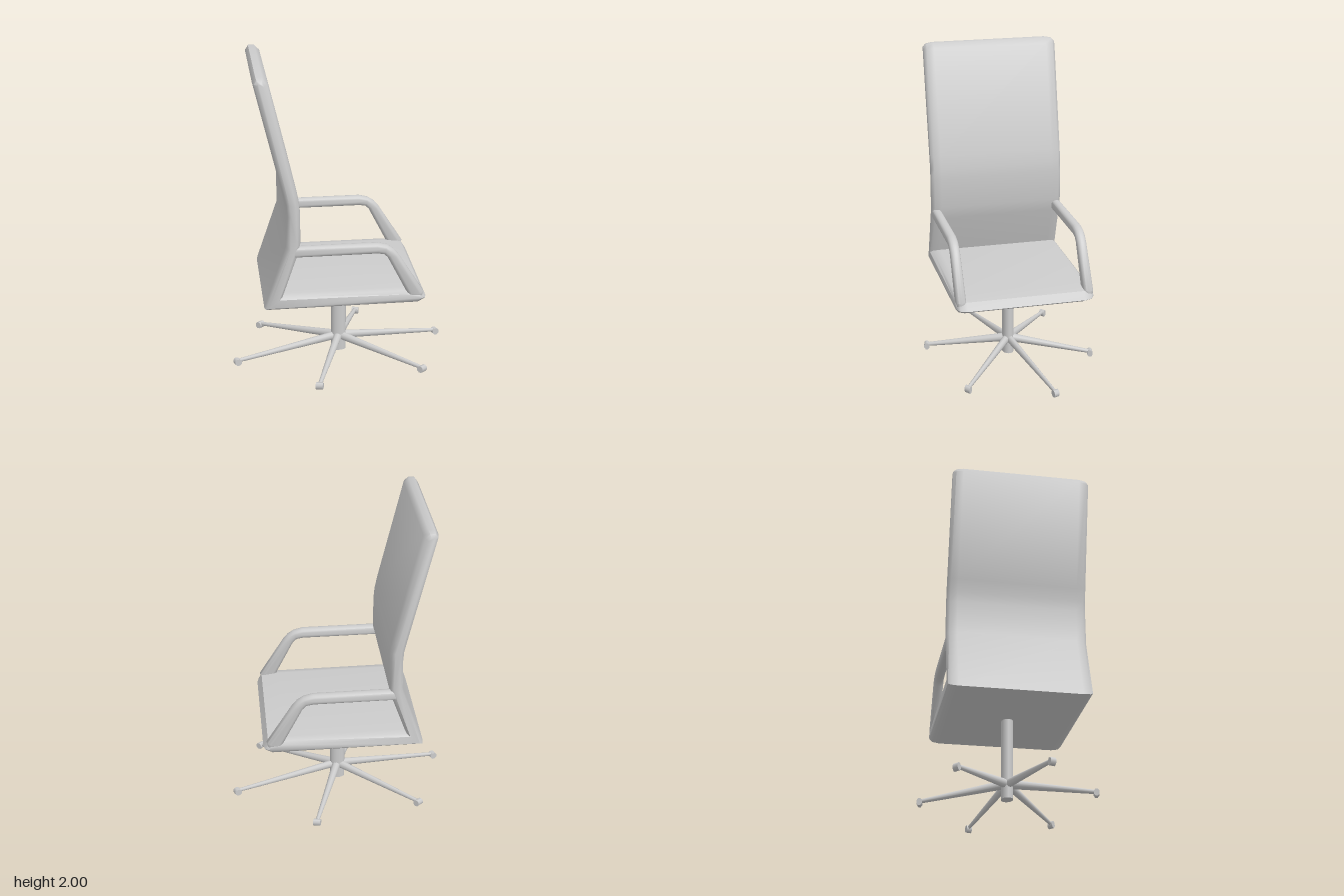
import * as THREE from 'three';
import { toCreasedNormals } from 'three/addons/utils/BufferGeometryUtils.js';

const material = new THREE.MeshStandardMaterial({ color: 0xcccccc });

function add(parent, name, geometry) {
  const mesh = new THREE.Mesh(geometry, material);
  mesh.name = name;
  parent.add(mesh);
  return mesh;
}

// Side profile extruded across z between z0 and z1, with rounded edges
function slab(points, z0, z1, bevelThickness, bevelSize, bevelSegments) {
  const shape = new THREE.Shape(points.map(([x, y]) => new THREE.Vector2(x, y)));
  const geometry = new THREE.ExtrudeGeometry(shape, {
    depth: z1 - z0 - 2 * bevelThickness,
    bevelThickness, bevelSize, bevelOffset: -bevelSize, bevelSegments,
  });
  geometry.translate(0, 0, z0 + bevelThickness);
  return toCreasedNormals(geometry, 0.85);
}

export function createModel() {
  const chair = new THREE.Group();
  chair.name = 'swivelChair';

  // Seat and back: one bent shell
  const shellProfile = [
    [-0.51, 0.52], [0.45, 0.52], [0.505, 0.55], [0.475, 0.6], [0.36, 0.615], [-0.39, 0.615],
    [-0.3, 0.87], [-0.28, 0.95], [-0.28, 1.15], [-0.285, 1.21], [-0.3, 1.29],
    [-0.46, 1.97], [-0.49, 2], [-0.53, 2], [-0.55, 1.97],
    [-0.39, 1.29], [-0.372, 1.21], [-0.367, 1.14], [-0.37, 0.93],
  ];
  add(chair, 'seatAndBackShell', slab(shellProfile, -0.435, 0.435, 0.062, 0.025, 2));

  // Armrests: bar running forward, then bending down to the seat
  const armProfile = [
    [-0.34, 0.87], [0.19, 0.87], [0.23, 0.863], [0.255, 0.84], [0.395, 0.565],
    [0.475, 0.565], [0.484, 0.6], [0.32, 0.86], [0.29, 0.895], [0.25, 0.922], [0.19, 0.937], [-0.34, 0.937],
  ];
  add(chair, 'leftArmrest', slab(armProfile, 0.374, 0.435, 0.025, 0.022, 3));
  add(chair, 'rightArmrest', slab(armProfile, -0.435, -0.374, 0.025, 0.022, 3));

  // Base: column and six legs, narrower in depth than in width
  const base = new THREE.Group();
  base.name = 'base';
  base.scale.z = 0.755;
  chair.add(base);
  add(base, 'column', new THREE.CylinderGeometry(0.049, 0.049, 0.52, 24).translate(0, 0.272, 0));

  const start = new THREE.Vector3(0, 0.112, 0);
  const end = new THREE.Vector3(0.69, 0.032, 0);
  const direction = end.clone().sub(start);
  const legGeometry = new THREE.CylinderGeometry(0.013, 0.029, direction.length(), 10);
  legGeometry.applyQuaternion(new THREE.Quaternion().setFromUnitVectors(
    new THREE.Vector3(0, 1, 0), direction.clone().normalize()));
  legGeometry.translate(0.345, 0.072, 0);
  const footGeometry = new THREE.CylinderGeometry(0.024, 0.024, 0.046, 8)
    .rotateY(Math.PI / 8).rotateX(Math.PI / 2).translate(0.703, 0.0235, 0);

  for (let i = 0; i < 6; i++) {
    const leg = new THREE.Group();
    leg.name = 'baseLeg' + (i + 1);
    leg.rotation.y = -Math.PI / 4 + i * Math.PI / 3;
    add(leg, 'legBar', legGeometry);
    add(leg, 'foot', footGeometry);
    base.add(leg);
  }
  return chair;
}
